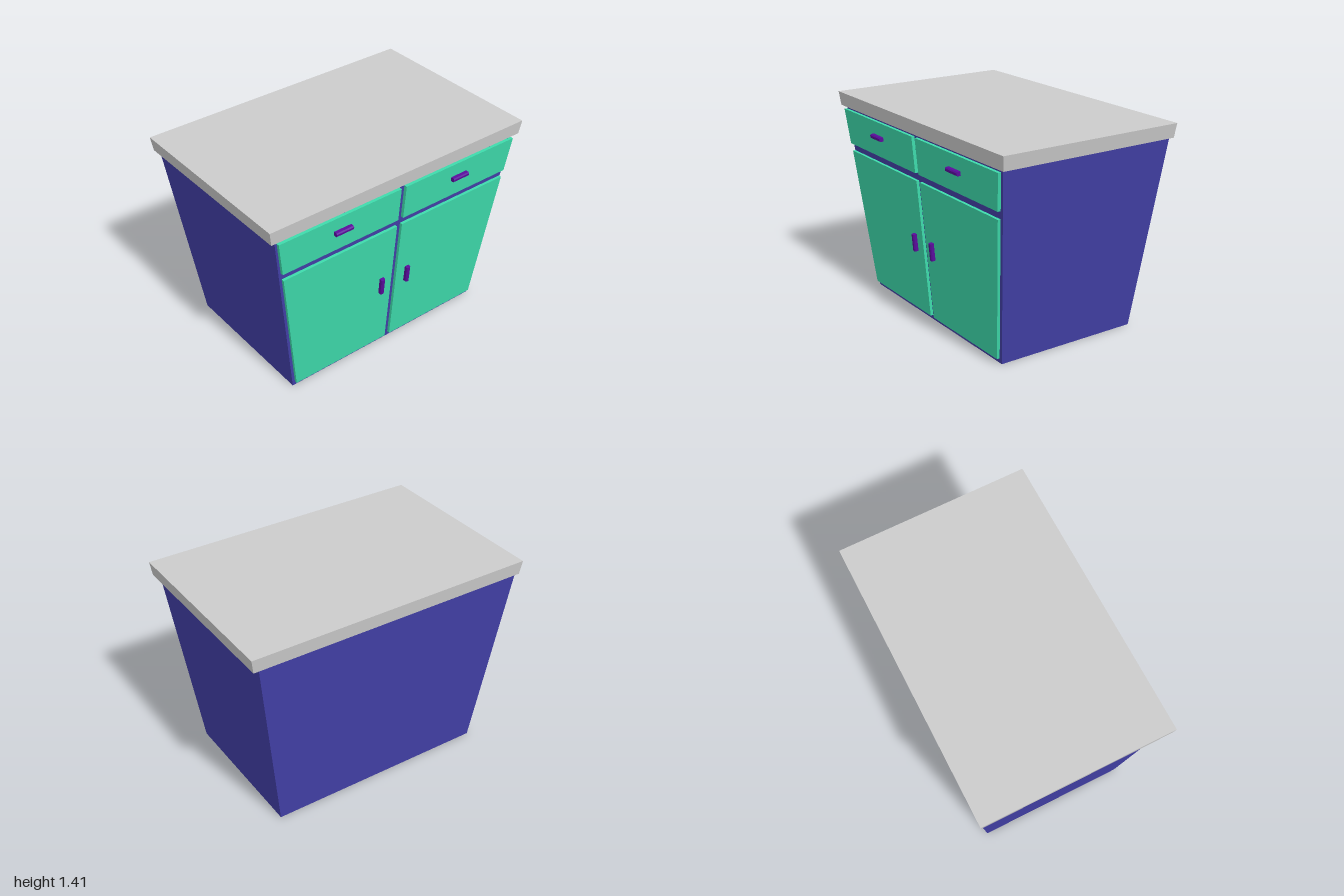
import * as THREE from 'three';

const material = (color) => new THREE.MeshStandardMaterial({ color, flatShading: true });

// Slope of the cabinet's leaning front face
const SLOPE = 0.088;
const frontZ = (y) => 0.5 + SLOPE * y;

// Six-sided block between two rectangles [x0, x1, z0, z1] at heights y0 and y1
function taperedBlock(name, mat, y0, y1, bottom, top) {
  const geometry = new THREE.BoxGeometry(1, 1, 1);
  const p = geometry.attributes.position;
  for (let i = 0; i < p.count; i++) {
    const up = p.getY(i) > 0;
    const r = up ? top : bottom;
    p.setXYZ(i, p.getX(i) > 0 ? r[1] : r[0], up ? y1 : y0, p.getZ(i) > 0 ? r[3] : r[2]);
  }
  geometry.computeVertexNormals();
  const mesh = new THREE.Mesh(geometry, mat);
  mesh.name = name;
  return mesh;
}

// Thin slab lying parallel to the front face, on the side given by s
function frontPanel(name, mat, s, y0, y1, inner, outer0, outer1, gap, depth) {
  const rect = (outer, y) => {
    const xs = [s * inner, s * outer].sort((a, b) => a - b);
    return [...xs, frontZ(y) + gap, frontZ(y) + gap + depth];
  };
  return taperedBlock(name, mat, y0, y1, rect(outer0, y0), rect(outer1, y1));
}

// Bar with chamfered long edges; its back sits at z = 0
function handle(name, mat, length, width, depth) {
  const w = width / 2, c = 0.007;
  const section = new THREE.Shape([
    new THREE.Vector2(-w, 0), new THREE.Vector2(w, 0),
    new THREE.Vector2(w, depth - c), new THREE.Vector2(w - c, depth),
    new THREE.Vector2(-w + c, depth), new THREE.Vector2(-w, depth - c),
  ]);
  const geometry = new THREE.ExtrudeGeometry(section, { depth: length, bevelEnabled: false });
  geometry.translate(0, 0, -length / 2).rotateX(Math.PI / 2);
  const mesh = new THREE.Mesh(geometry, mat);
  mesh.name = name;
  return mesh;
}

export function createModel() {
  const group = new THREE.Group();
  group.name = 'cabinet';
  const blue = material(0x4340a8);
  const green = material(0x3edbac);
  const purple = material(0x5a0c9c);
  const red = material(0x7a2020);
  const grey = material(0xcccccc);

  // Body flaring upwards, and the worktop
  group.add(taperedBlock('body', blue, 0, 1.315,
    [-0.775, 0.775, -0.525, 0.5], [-0.95, 0.95, -0.648, frontZ(1.315)]));
  group.add(taperedBlock('worktop', grey, 1.315, 1.41,
    [-0.986, 0.986, -0.65, 0.64], [-1, 1, -0.66, 0.65]));

  const tilt = Math.atan(SLOPE);
  for (const s of [-1, 1]) {
    const side = s > 0 ? 'left' : 'right';
    // Doors and drawer fronts
    group.add(frontPanel(side + 'Door', green, s, 0.037, 1.0, 0.02, 0.763, 0.893, 0.005, 0.02));
    group.add(frontPanel(side + 'DrawerFront', green, s, 1.053, 1.297, 0.02, 0.902, 0.937, 0.006, 0.022));
    group.add(frontPanel(side + 'DrawerBacking', red, s, 1.08, 1.27, 0.06, 0.86, 0.89, 0.001, 0.005));

    // Upright door handle
    const doorHandle = handle(side + 'DoorHandle', purple, 0.12, 0.03, 0.028);
    doorHandle.position.set(s * 0.107, 0.55, frontZ(0.55) + 0.024);
    doorHandle.rotation.x = tilt;
    group.add(doorHandle);

    // Horizontal drawer handle
    const drawerHandle = handle(side + 'DrawerHandle', purple, 0.13, 0.028, 0.03);
    drawerHandle.position.set(s * 0.47, 1.192, frontZ(1.192) + 0.026);
    drawerHandle.rotation.set(tilt, 0, Math.PI / 2);
    group.add(drawerHandle);
  }
  return group;
}
